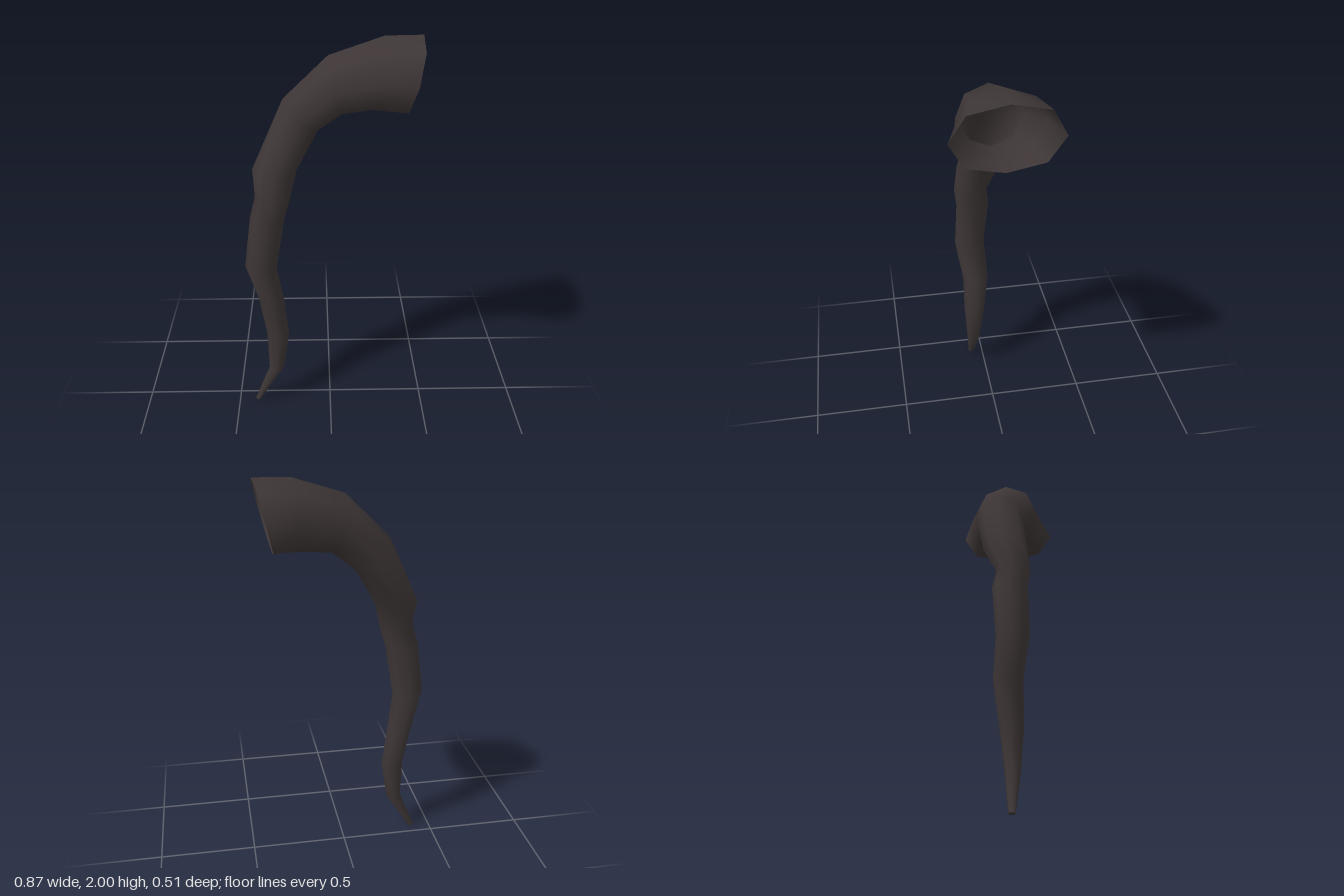
import * as THREE from 'three';

const SIDES = 8;

// Cross-sections from tip to mouth:
// outer x, outer y, inner x, inner y, centre z, half width in z
const SECTIONS = [
  [-0.412, 0.006, -0.385, 0.0, 0.065, 0.016],
  [-0.33, 0.215, -0.252, 0.21, 0.063, 0.037],
  [-0.337, 0.43, -0.22, 0.42, 0.058, 0.057],
  [-0.375, 0.64, -0.242, 0.63, 0.045, 0.07],
  [-0.435, 0.845, -0.275, 0.835, 0.07, 0.08],
  [-0.4, 1.11, -0.227, 1.11, 0.055, 0.086],
  [-0.37, 1.23, -0.2, 1.21, 0.07, 0.085],
  [-0.38, 1.36, -0.165, 1.35, 0.03, 0.11],
  [-0.225, 1.7, -0.06, 1.54, -0.01, 0.12],
  [-0.01, 1.913, 0.055, 1.63, 0.017, 0.158],
  [0.25, 1.997, 0.2, 1.645, 0, 0.205],
  [0.43, 2.0, 0.345, 1.645, 0, 0.255],
];

function ring([ox, oy, ix, iy, cz, rz], squareness = 1) {
  const points = [];
  for (let j = 0; j < SIDES; j++) {
    const t = (j / SIDES) * Math.PI * 2;
    const c = Math.sign(Math.cos(t)) * Math.abs(Math.cos(t)) ** squareness;
    points.push(
      (ox + ix) / 2 + ((ox - ix) / 2) * c,
      (oy + iy) / 2 + ((oy - iy) / 2) * c,
      cz + rz * Math.sin(t)
    );
  }
  return points;
}

function makeGeometry(positions, index) {
  const geometry = new THREE.BufferGeometry();
  geometry.setAttribute('position', new THREE.Float32BufferAttribute(positions, 3));
  geometry.setIndex(index);
  geometry.computeVertexNormals();
  return geometry;
}

export function createModel() {
  const group = new THREE.Group();
  group.name = 'curvedHorn';
  const horn = new THREE.MeshStandardMaterial({ color: 0x3e3636, side: THREE.DoubleSide });
  horn.name = 'dark horn';

  // Hollow tapering shell, open at the wide mouth
  const last = SECTIONS.length - 1;
  const positions = SECTIONS.flatMap((s, i) => ring(s, i === last ? 0.75 : 1));
  const index = [];
  for (let i = 0; i < last; i++) {
    for (let j = 0; j < SIDES; j++) {
      const a = i * SIDES + j;
      const b = i * SIDES + ((j + 1) % SIDES);
      index.push(a, b, a + SIDES, b, b + SIDES, a + SIDES);
    }
  }
  const shell = new THREE.Mesh(makeGeometry(positions, index), horn);
  shell.name = 'hornShell';
  group.add(shell);

  // Small flat end closing the tip
  const capIndex = [];
  for (let j = 1; j < SIDES - 1; j++) capIndex.push(0, j + 1, j);
  const cap = new THREE.Mesh(makeGeometry(ring(SECTIONS[0]), capIndex), horn);
  cap.name = 'hornTip';
  group.add(cap);

  return group;
}
